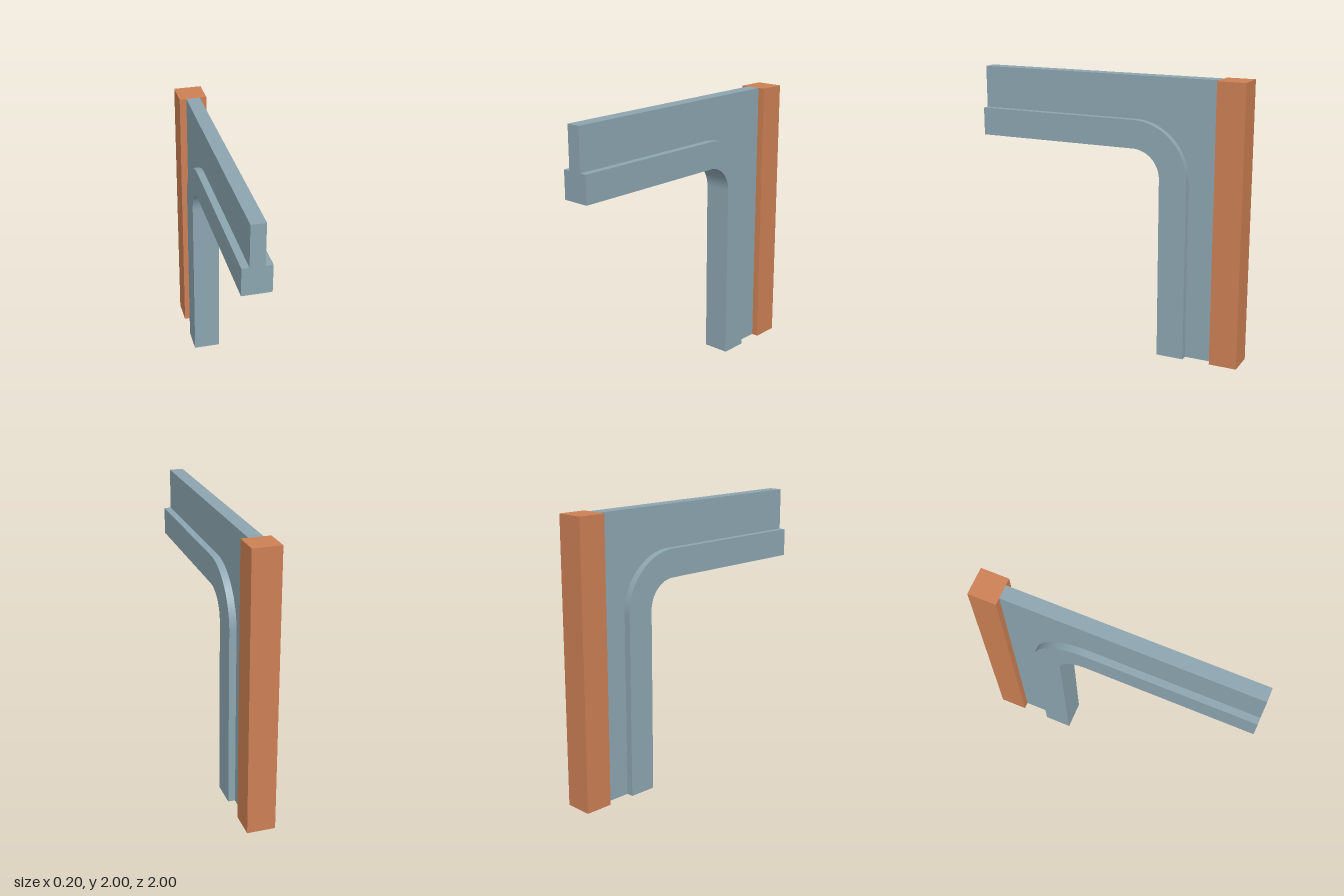
import * as THREE from 'three';
import { toCreasedNormals } from 'three/addons/utils/BufferGeometryUtils.js';

const BLUE = new THREE.MeshStandardMaterial({ color: 0x8ca5b0 });
const ORANGE = new THREE.MeshStandardMaterial({ color: 0xcc8054 });

// Side profile (u runs towards the back, v is up), extruded across x and centred
function sideExtrude(name, shape, width, material) {
  const geometry = new THREE.ExtrudeGeometry(shape, { depth: width, bevelEnabled: false, curveSegments: 24 });
  geometry.translate(0, 0, -width / 2);
  geometry.rotateY(Math.PI / 2);
  const mesh = new THREE.Mesh(toCreasedNormals(geometry, Math.PI / 6), material);
  mesh.name = name;
  return mesh;
}

// Starts a profile along the underside: up the leg, round the corner, out to the front
function bentEdge(radius) {
  const shape = new THREE.Shape();
  shape.moveTo(0.2 + radius, 0);
  shape.lineTo(0.2 + radius, 1.3);
  shape.absarc(0.2, 1.3, radius, 0, Math.PI / 2, false);
  shape.lineTo(-1, 1.3 + radius);
  return shape;
}

export function createModel() {
  const group = new THREE.Group();
  group.name = 'archBracket';

  // Wide flange following the inside of the bend
  const flange = bentEdge(0.2);
  flange.lineTo(-1, 1.7);
  flange.lineTo(0.2, 1.7);
  flange.absarc(0.2, 1.3, 0.4, Math.PI / 2, 0, true);
  flange.lineTo(0.6, 0);
  flange.closePath();
  group.add(sideExtrude('curvedFlange', flange, 0.2, BLUE));

  // Thin web filling from the flange to the top and the post
  const web = bentEdge(0.4);
  web.lineTo(-1, 2);
  web.lineTo(0.8, 2);
  web.lineTo(0.8, 0);
  web.closePath();
  group.add(sideExtrude('web', web, 0.1, BLUE));

  // Upright post at the back
  const post = new THREE.Mesh(new THREE.BoxGeometry(0.2, 2, 0.2), ORANGE);
  post.name = 'backPost';
  post.position.set(0, 1, -0.9);
  group.add(post);

  return group;
}
